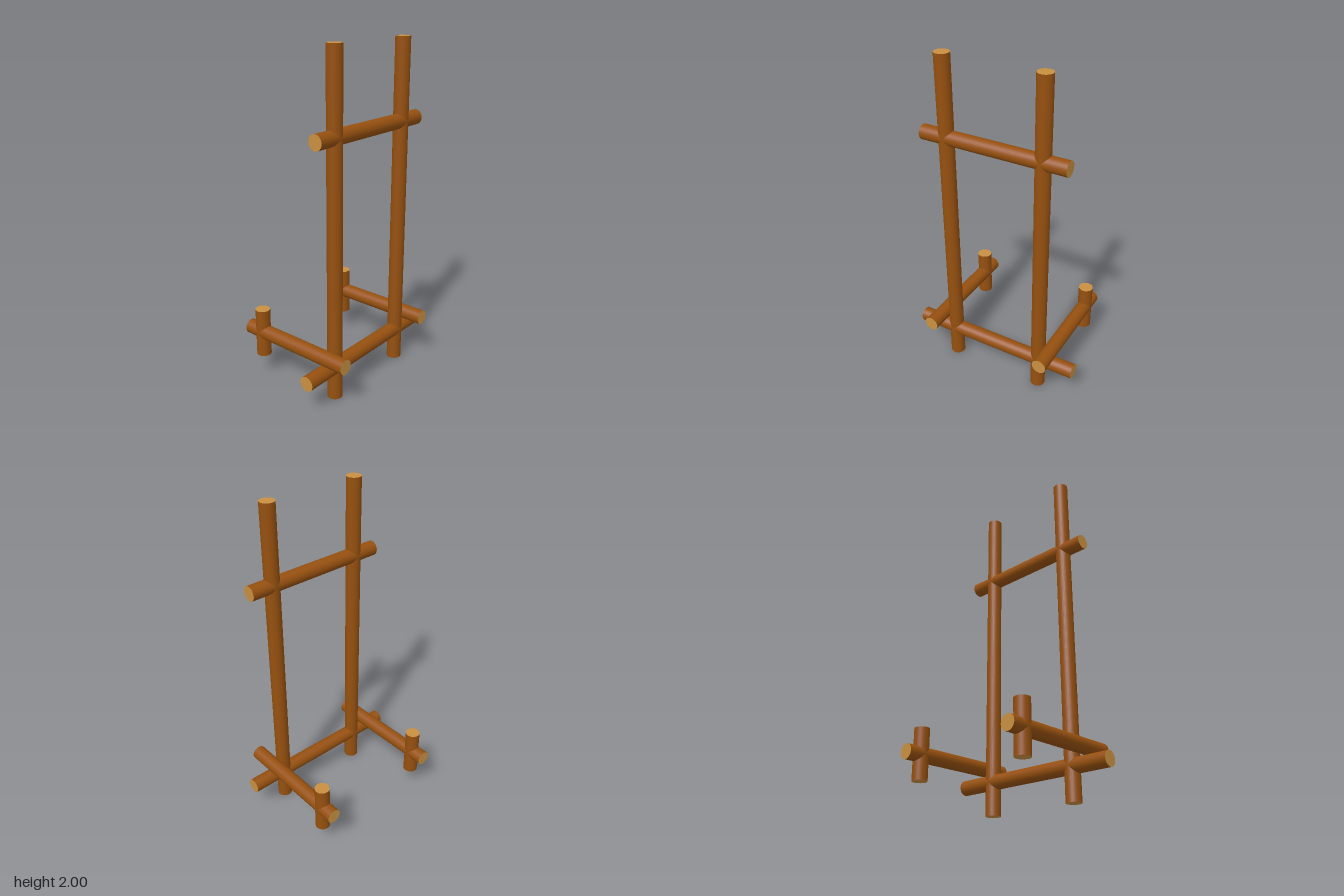
import * as THREE from 'three';

export function createModel() {
  const bark = new THREE.MeshStandardMaterial({ color: 0x96500f });
  bark.name = 'bark brown';
  const cutWood = new THREE.MeshStandardMaterial({ color: 0xc89040 });
  cutWood.name = 'cut wood tan';

  const radius = 0.044;
  const model = new THREE.Group();
  model.name = 'logFrame';

  // A round log along one axis, with pale cut ends
  function addLog(name, axis, length, x, y, z) {
    const geometry = new THREE.CylinderGeometry(radius, radius, length, 32);
    if (axis === 'x') geometry.rotateZ(-Math.PI / 2);
    if (axis === 'z') geometry.rotateX(Math.PI / 2);
    const log = new THREE.Mesh(geometry, [bark, cutWood, cutWood]);
    log.name = name;
    log.position.set(x, y, z);
    model.add(log);
  }

  // Tall uprights and the rails crossing them
  const frontZ = 0.221;
  addLog('leftUpright', 'y', 2, 0.298, 1, frontZ);
  addLog('rightUpright', 'y', 2, -0.29, 1, frontZ);
  addLog('upperRail', 'x', 0.89, 0.004, 1.527, frontZ);
  addLog('lowerRail', 'x', 1.066, 0, 0.194, frontZ);

  // Side rails running back to short rear posts
  for (const [side, s] of [['left', 1], ['right', -1]]) {
    addLog(side + 'SideRail', 'z', 0.744, s * 0.378, 0.285, 0);
    addLog(side + 'RearPost', 'y', 0.296, s * 0.378, 0.285, -0.267);
  }
  return model;
}
